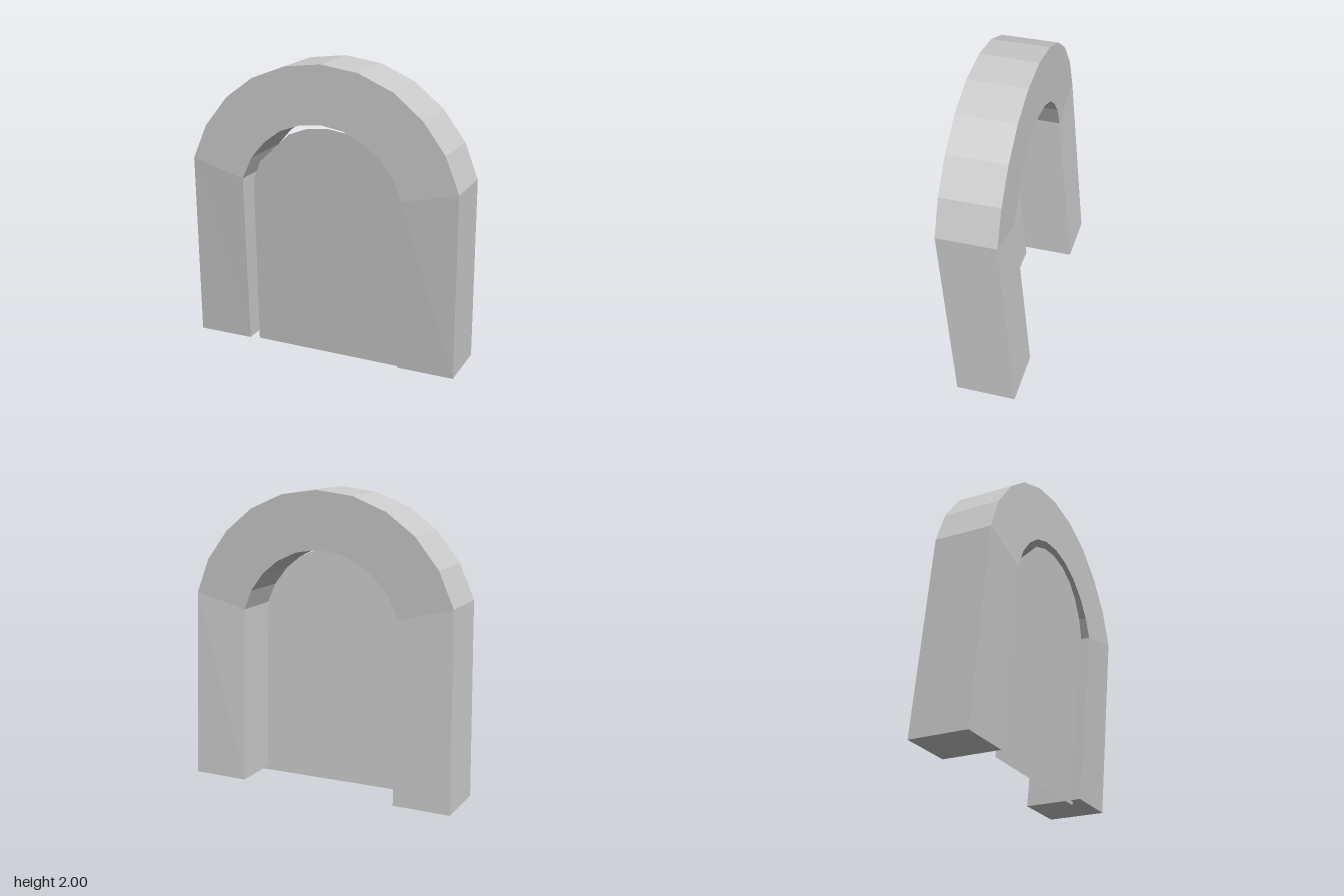
import * as THREE from 'three';

// Outer and inner outline of the arch, from the foot of the right leg over the crown to the left
const outer = [[-0.945, 0.03], [-0.9, 1.31], [-0.8, 1.54], [-0.64, 1.74], [-0.45, 1.88], [-0.22, 1.97], [0.03, 2],
  [0.28, 1.965], [0.51, 1.865], [0.7, 1.71], [0.85, 1.51], [0.94, 1.28], [0.92, 0.025]];
const inner = [[-0.56, 0.03], [-0.535, 1.21], [-0.465, 1.36], [-0.37, 1.47], [-0.255, 1.555], [-0.12, 1.605], [0.03, 1.62],
  [0.18, 1.595], [0.32, 1.53], [0.43, 1.44], [0.52, 1.32], [0.572, 1.19], [0.54, 0.025]];

// Top of the door panel, right to left
const panelOutline = [[-0.52, 0.008], [-0.485, 1.19], [-0.43, 1.325], [-0.21, 1.53], [-0.08, 1.58], [0.06, 1.595],
  [0.2, 1.575], [0.33, 1.52], [0.43, 1.44], [0.52, 1.32], [0.575, 1.19], [0.575, 0]];

// Sweeps a four-cornered section through the stations and caps both feet
function createFrame(material) {
  const last = outer.length - 1;
  const sections = outer.map((o, i) => {
    // the legs lean back towards the feet, the arch stands upright
    let front = 0.24, back = -0.14;
    if (i === 0) { front = 0.145; back = -0.243; }
    if (i === last) { front = 0.155; back = -0.233; }
    const n = inner[i];
    return [[...o, front], [...o, back], [...n, back], [...n, front]];
  });
  const positions = [];
  const quad = (a, b, c, d) => positions.push(...a, ...b, ...c, ...a, ...c, ...d);
  for (let i = 0; i < last; i++) {
    const s = sections[i], t = sections[i + 1];
    for (let k = 0; k < 4; k++) {
      const m = (k + 1) % 4;
      quad(s[k], t[k], t[m], s[m]);
    }
  }
  quad(...sections[0]);
  quad(...sections[last].slice().reverse());
  const geometry = new THREE.BufferGeometry();
  geometry.setAttribute('position', new THREE.Float32BufferAttribute(positions, 3));
  geometry.computeVertexNormals();
  const mesh = new THREE.Mesh(geometry, material);
  mesh.name = 'archFrame';
  return mesh;
}

// Thin sheet filling the opening, leaning back with the legs
function createPanel(material) {
  const shape = new THREE.Shape(panelOutline.map(([x, y]) => new THREE.Vector2(x, y)));
  const geometry = new THREE.ShapeGeometry(shape);
  const p = geometry.attributes.position;
  for (let i = 0; i < p.count; i++) p.setZ(i, 0.085 + 0.08 * p.getY(i));
  geometry.computeVertexNormals();
  const mesh = new THREE.Mesh(geometry, material);
  mesh.name = 'doorPanel';
  return mesh;
}

export function createModel() {
  const group = new THREE.Group();
  group.name = 'archedDoorway';
  const grey = new THREE.MeshStandardMaterial({ color: 0xcccccc, flatShading: true, side: THREE.DoubleSide });
  group.add(createFrame(grey), createPanel(grey));
  return group;
}
